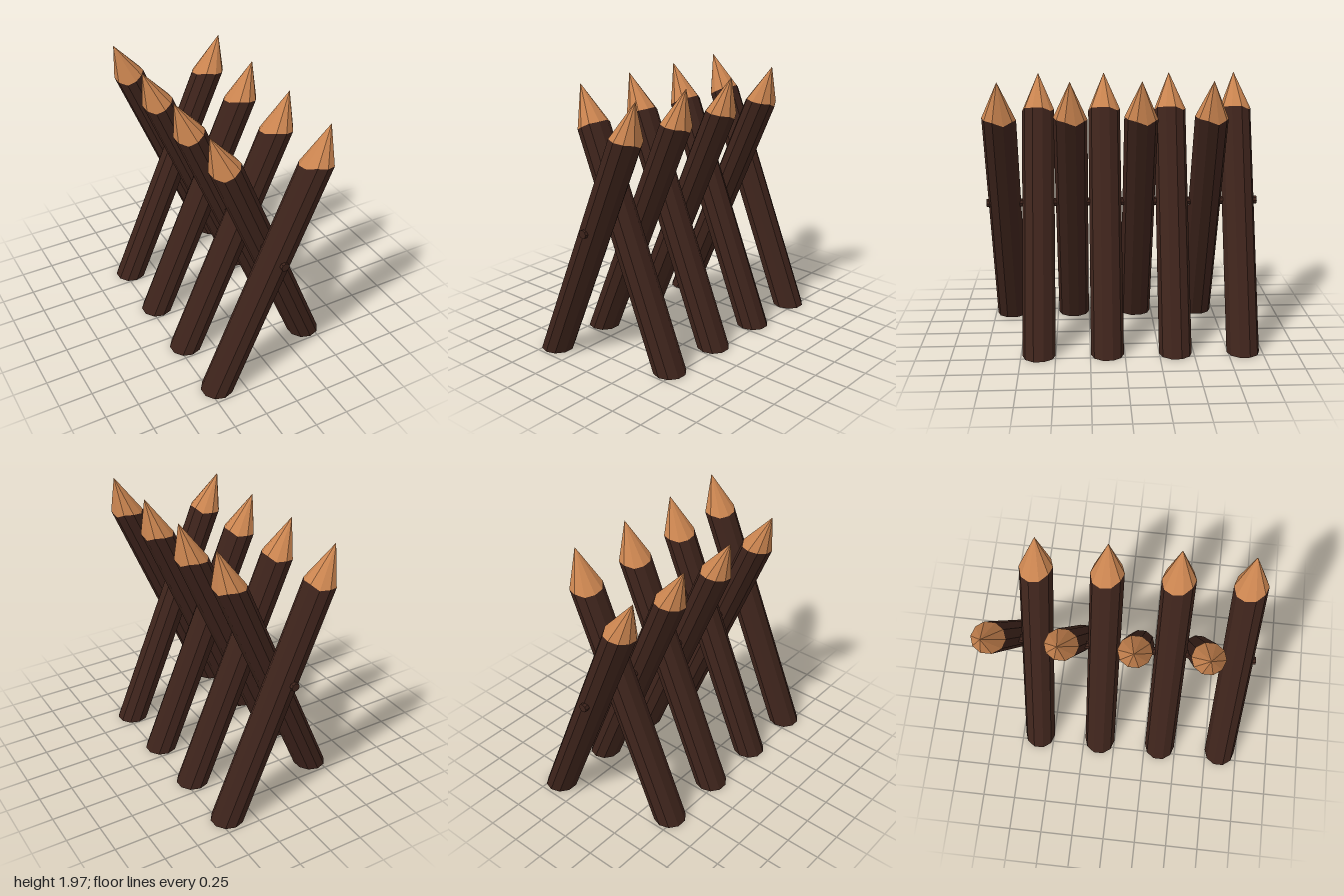
import * as THREE from 'three';

const SIDES = 10, RADIUS = 0.119;
const bark = new THREE.MeshStandardMaterial({ color: 0x3d231b, flatShading: true });
const cutWood = new THREE.MeshStandardMaterial({ color: 0xcb8550, flatShading: true });

// Two kinds of stake: foot position, lean (x per y), uneven height of the carved edge, tip
const RIGHT_LEAN = {
  foot: -0.442, slope: 0.43, tip: [0.378, 1.965],
  rim: [1.69, 1.7, 1.71, 1.72, 1.7, 1.69, 1.68, 1.69, 1.69, 1.66],
};
const LEFT_LEAN = {
  foot: 0.44, slope: -0.413, tip: [-0.366, 1.94],
  rim: [1.71, 1.7, 1.67, 1.64, 1.65, 1.66, 1.67, 1.68, 1.68, 1.71],
};

function facets(name, triangles, material) {
  const geometry = new THREE.BufferGeometry().setFromPoints(triangles.flat());
  geometry.computeVertexNormals();
  const mesh = new THREE.Mesh(geometry, material);
  mesh.name = name;
  return mesh;
}

// Leaning log, cut level at the ground and carved to a point at the top
function makeStake({ foot, slope, tip, rim }) {
  const point = (i, y) => {
    const a = ((i + 0.5) / SIDES) * Math.PI * 2;
    return new THREE.Vector3(foot + slope * y + RADIUS * Math.cos(a), y, RADIUS * Math.sin(a));
  };
  const apex = new THREE.Vector3(tip[0], tip[1], 0);
  const centre = new THREE.Vector3(foot, 0, 0);
  const log = [], point3 = [];
  for (let i = 0; i < SIDES; i++) {
    const j = (i + 1) % SIDES;
    const a = point(i, 0), b = point(j, 0);
    const c = point(i, rim[i]), d = point(j, rim[j]);
    log.push([a, c, b], [b, c, d], [centre, a, b]);
    point3.push([c, apex, d]);
  }
  const stake = new THREE.Group();
  stake.add(facets('log', log, bark), facets('sharpenedTip', point3, cutWood));
  return stake;
}

export function createModel() {
  const model = new THREE.Group();
  model.name = 'stakeBarricade';

  // Stakes alternate in lean from front to back, drifting slightly sideways
  for (let i = 0; i < 8; i++) {
    const z = 0.866 - i * 0.2465;
    const stake = makeStake(i % 2 ? LEFT_LEAN : RIGHT_LEAN);
    stake.name = i % 2 ? 'leftLeaningStake' : 'rightLeaningStake';
    stake.position.set(0.009 * z, 0, z);
    model.add(stake);
  }

  // Rod through the crossing of all the stakes
  const rod = new THREE.Mesh(new THREE.CylinderGeometry(0.031, 0.031, 2, 8), bark);
  rod.name = 'crossRod';
  rod.rotation.set(Math.PI / 2, 0, -0.009);
  rod.position.set(0, 1.03, 0);
  model.add(rod);
  return model;
}
